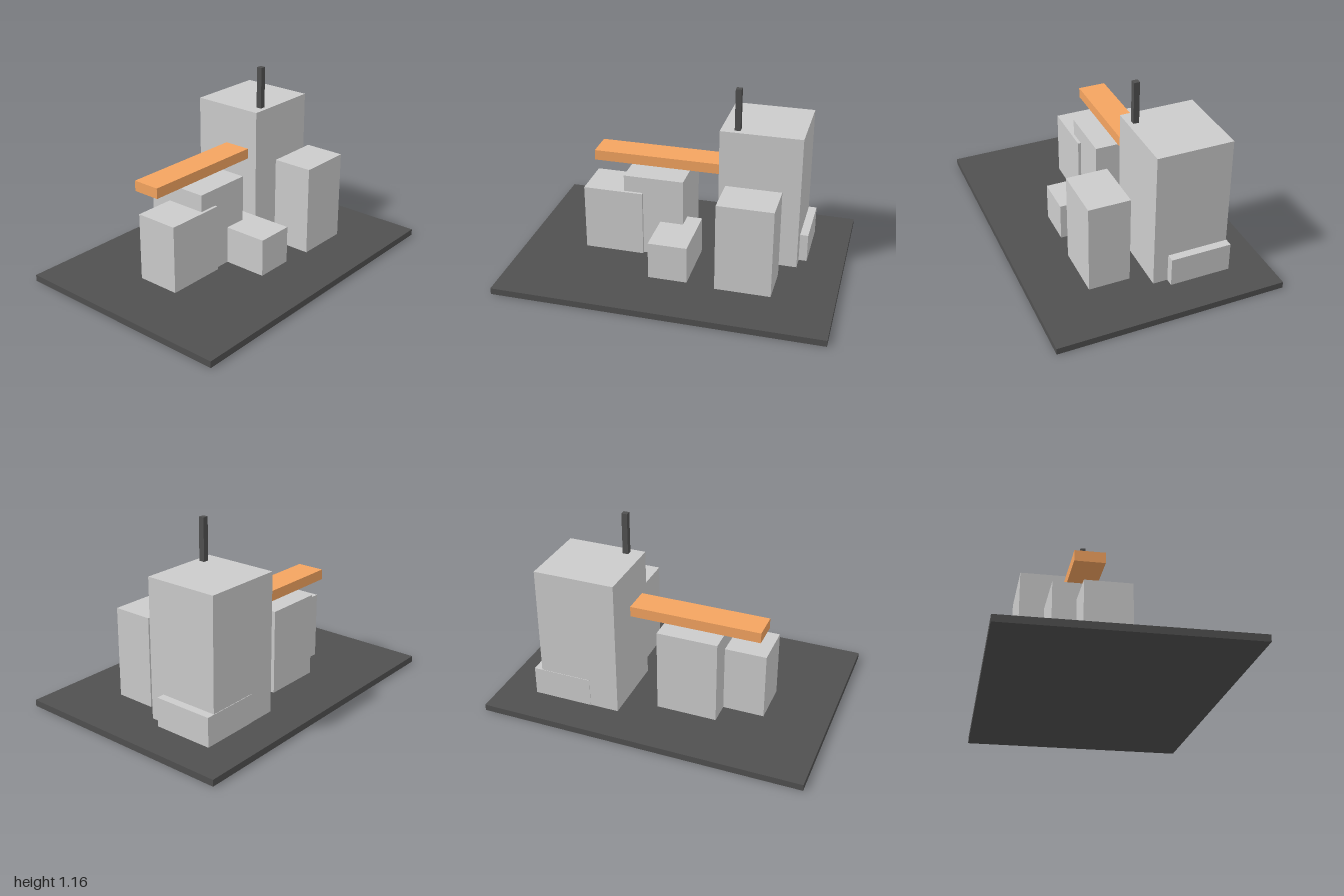
import * as THREE from 'three';

const grey = new THREE.MeshStandardMaterial({ color: 0xcccccc });
const dark = new THREE.MeshStandardMaterial({ color: 0x505050 });
const orange = new THREE.MeshStandardMaterial({ color: 0xf4a460 });

// Box given by its extents along each axis
function block(name, [x0, x1], [y0, y1], [z0, z1], material = grey) {
  const mesh = new THREE.Mesh(new THREE.BoxGeometry(x1 - x0, y1 - y0, z1 - z0), material);
  mesh.position.set((x0 + x1) / 2, (y0 + y1) / 2, (z0 + z1) / 2);
  mesh.name = name;
  return mesh;
}

export function createModel() {
  const model = new THREE.Group();
  model.name = 'buildingCluster';
  const ground = 0.04;

  model.add(
    // Base slab
    block('basePlate', [-1, 1], [0, ground], [-0.7, 0.7], dark),

    // Buildings standing on the slab
    block('tower', [0.22, 0.72], [ground, 0.9], [-0.464, 0], grey),
    block('towerAnnex', [0.4, 0.77], [ground, 0.22], [-0.467, -0.09]),
    block('frontBlock', [0.285, 0.625], [ground, 0.6], [0.107, 0.362]),
    block('lowBlock', [-0.13, 0.11], [ground, 0.275], [-0.04, 0.34]),
    block('middleBlock', [-0.36, 0.015], [ground, 0.565], [-0.33, 0.066]),
    block('leftBlock', [-0.615, -0.24], [ground, 0.46], [-0.19, 0.084]),

    // Bridge reaching out from the tower, and the rooftop mast
    block('skyBridge', [-0.59, 0.22], [0.585, 0.65], [-0.24, -0.064], orange),
    block('mast', [0.304, 0.339], [0.9, 1.16], [-0.066, -0.031], dark)
  );
  return model;
}
